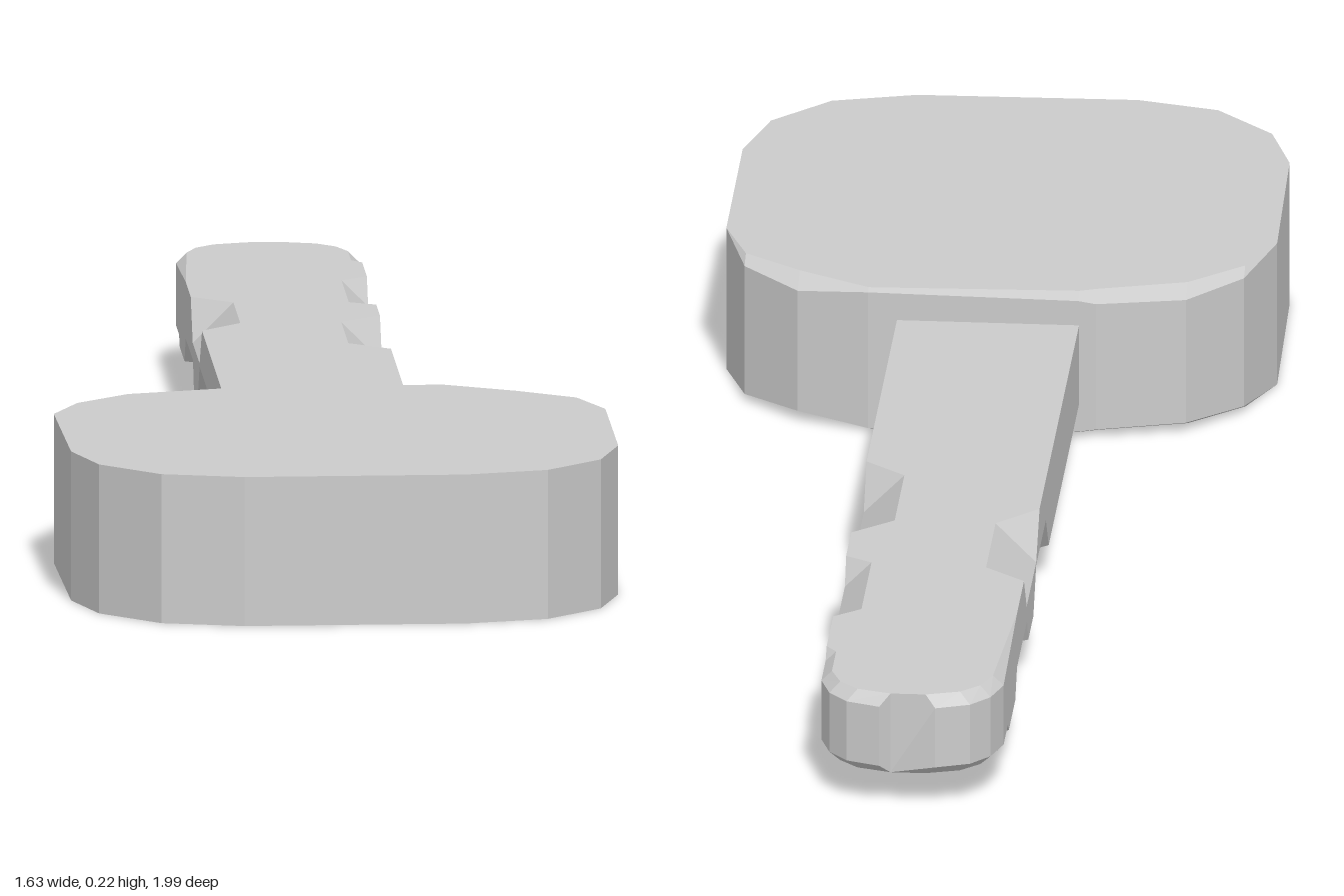
import * as THREE from 'three';

const material = new THREE.MeshStandardMaterial({ color: 0xcccccc, flatShading: true });
const V = (x, y, z) => new THREE.Vector3(x, y, z);

// Skins a list of equal-length rings and closes both ends with fans.
function loft(rings, name) {
  const pos = [];
  const tri = (a, b, c) => {
    const n = b.clone().sub(a).cross(c.clone().sub(a));
    if (n.length() > 1e-8) for (const p of [a, b, c]) pos.push(p.x, p.y, p.z);
  };
  const count = rings[0].length;
  for (let i = 0; i < rings.length - 1; i++) {
    for (let j = 0; j < count; j++) {
      const k = (j + 1) % count, lo = rings[i], hi = rings[i + 1];
      tri(lo[j], hi[j], hi[k]);
      tri(lo[j], hi[k], lo[k]);
    }
  }
  const first = rings[0], last = rings[rings.length - 1];
  for (let j = 1; j < count - 1; j++) {
    tri(first[0], first[j], first[j + 1]);
    tri(last[0], last[j + 1], last[j]);
  }
  const geo = new THREE.BufferGeometry();
  geo.setAttribute('position', new THREE.Float32BufferAttribute(pos, 3));
  geo.computeVertexNormals();
  const mesh = new THREE.Mesh(geo, material);
  mesh.name = name;
  return mesh;
}

// Handle frame: u runs from the head to the tip, v across the handle.
const along = V(0.597, 0, -0.802), across = V(0.802, 0, 0.597), root = V(-0.135, 0, 0.23);
const place = (u, y, v) =>
  root.clone().addScaledVector(along, u).addScaledVector(across, v).setY(y);

// Piecewise linear lookup in a list of [u, value].
function lerpAt(list, u) {
  for (let i = 1; i < list.length; i++) {
    const [u0, a] = list[i - 1], [u1, b] = list[i];
    if (u <= u1) return a + (b - a) * (u - u0) / (u1 - u0);
  }
  return list[list.length - 1][1];
}

// Rounded square slab; rim corners facing the handle are bevelled by the third value.
function createHead() {
  const height = 0.215;
  const outline = [
    [-0.59, 0.18, 0], [-0.49, 0.11, 0.01], [-0.38, 0.09, 0.014], [-0.26, 0.14, 0.012],
    [-0.24, 0.155, 0.008], [0, 0.335, 0.004], [0.065, 0.42, 0.016], [0.085, 0.53, 0.01],
    [0.04, 0.65, 0], [-0.145, 0.9, 0], [-0.24, 0.975, 0], [-0.355, 0.995, 0],
    [-0.47, 0.95, 0], [-0.725, 0.765, 0], [-0.8, 0.67, 0], [-0.815, 0.55, 0], [-0.775, 0.44, 0],
  ];
  const rim = y => outline.map(([x, z, d]) => V(x, y === 0 ? d : height - d, z));
  const cap = y => outline.map(([x, z, d]) => V(x, y, z).addScaledVector(along, -2.5 * d));
  return loft([cap(0), rim(0), rim(height), cap(height)], 'head');
}

// Rectangular bar with chips cut into its long edges and a rounded tip.
function createHandle() {
  const bottom = 0.05, top = 0.17;
  // Chip sizes: upper right and lower left edges, then upper left and lower right.
  const chipsA = [[-0.03, 0], [0.557, 0], [0.608, 0.058], [0.787, 0.058], [0.839, 0], [0.932, 0],
    [0.955, 0.038], [1.14, 0.038], [1.172, 0], [1.29, 0], [1.31, 0.015], [1.485, 0.015]];
  const chipsB = [[-0.03, 0], [0.725, 0], [0.787, 0.058], [0.962, 0.058], [1.012, 0],
    [1.137, 0], [1.387, 0.015], [1.485, 0.015]];
  const halfWidth = [[-0.03, 0.13], [1.387, 0.13], [1.435, 0.115], [1.467, 0.088], [1.485, 0.04]];
  const setBack = [[-0.03, 0], [1.387, 0], [1.485, 0.015]];
  const stations = [...new Set([...chipsA, ...chipsB, ...halfWidth].map(p => p[0]))]
    .sort((p, q) => p - q);
  const rings = stations.map(u => {
    const a = lerpAt(chipsA, u), b = lerpAt(chipsB, u);
    const w = lerpAt(halfWidth, u), t = u - lerpAt(setBack, u);
    return [
      place(t, bottom, w - b), place(u, bottom + b, w),
      place(u, top - a, w), place(t, top, w - a),
      place(t, top, b - w), place(u, top - b, -w),
      place(u, bottom + a, -w), place(t, bottom, a - w),
    ];
  });
  return loft(rings, 'handle');
}

export function createModel() {
  const model = new THREE.Group();
  model.name = 'mallet';
  model.add(createHead(), createHandle());
  return model;
}
